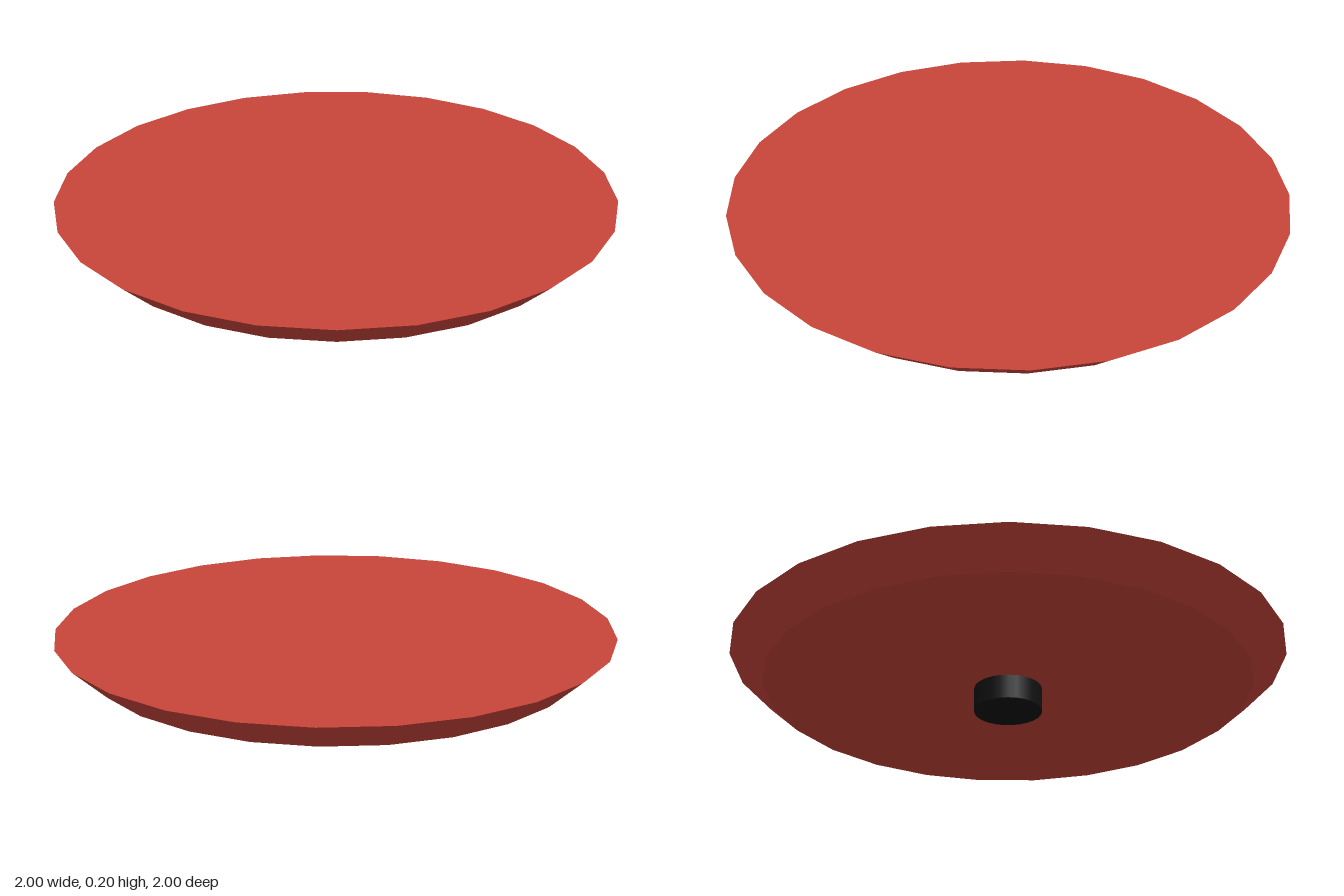
import * as THREE from 'three';

const SIDES = 25;

// Upright round part between two heights, with one corner pointing to the back
function roundPart(name, rTop, rBottom, y0, y1, color) {
  const geometry = new THREE.CylinderGeometry(rTop, rBottom, y1 - y0, SIDES, 1, false, Math.PI);
  const mesh = new THREE.Mesh(geometry, new THREE.MeshStandardMaterial({ color }));
  mesh.name = name;
  mesh.position.set(0, (y0 + y1) / 2, 0.004); // odd side count: shift to centre the bounds
  return mesh;
}

export function createModel() {
  const model = new THREE.Group();
  model.name = 'roundTray';

  // Flat disc with a rim sloping inward to its underside
  model.add(roundPart('disc', 1.002, 0.879, 0.088, 0.198, 0xc8443a));

  // Short dark foot beneath the centre
  model.add(roundPart('foot', 0.122, 0.122, 0, 0.088, 0x111111));

  return model;
}
